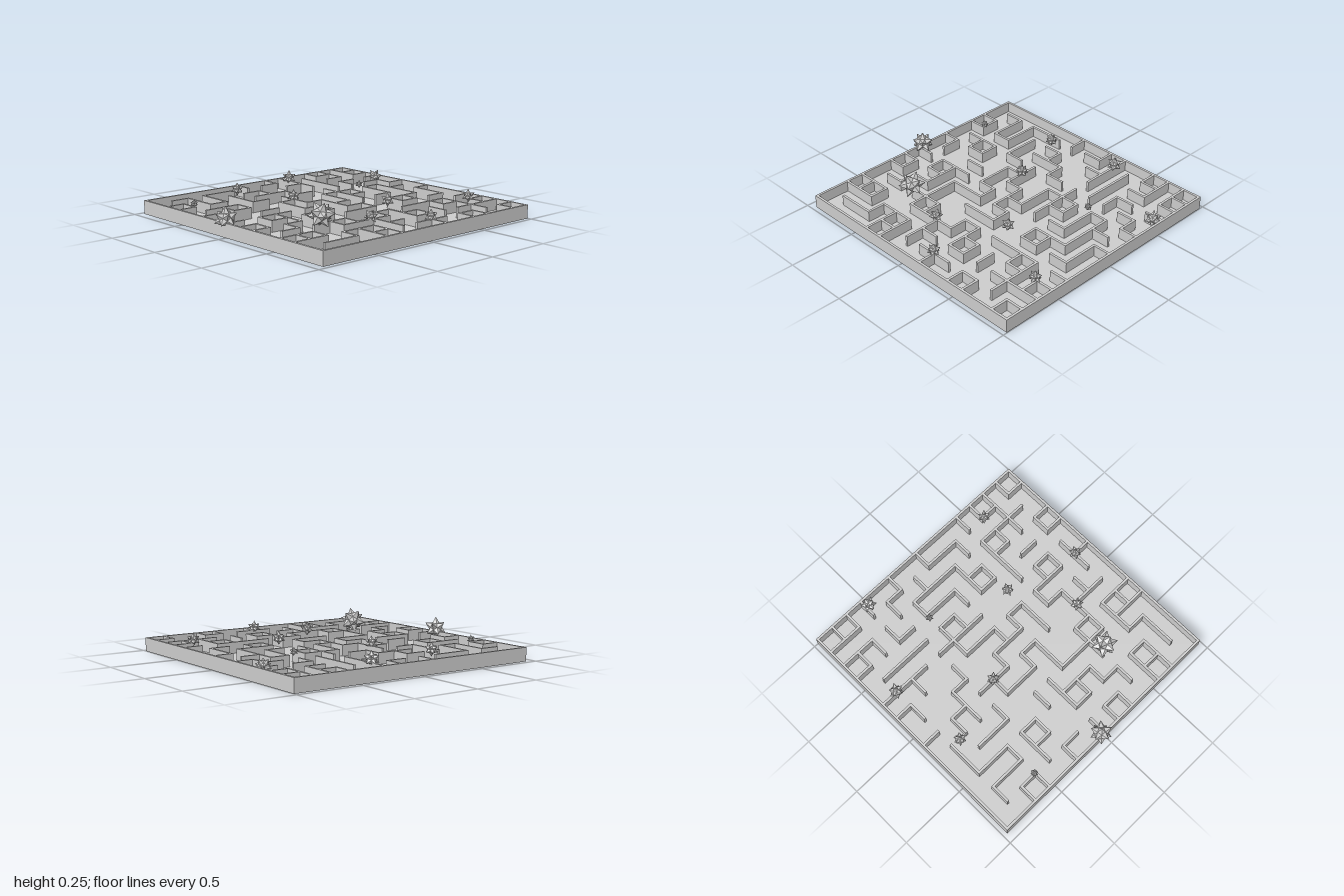
import * as THREE from 'three';
import { mergeGeometries } from 'three/addons/utils/BufferGeometryUtils.js';

const N = 14, CELL = 0.137, T = 0.018, TOP = 0.1, FLOOR = 0.02;
const CX = 0.03, SIZE = N * CELL + T;

// Inner walls running along x, one string per grid line from back to front
const ROWS = [
  '.#.##..#...#.#', '#....#..#..#.#', '#.#..##....#.#', '.##.#..#....#.',
  '#.#..#..##.#.#', '...#..#..#..#.', '#.##.#.#..#..#', '#.#.##.#..##..',
  '#.#...##..#.#.', '.#.##..#.###.#', '##..###.#..#.#', '##.##.#.#..###',
  '.##.#..##.#..#',
];
// Inner walls running along z, one string per grid line from left to right in plan
const COLS = [
  '..#..#..#..#..', '.##.#..#.#.#..', '.##.#..##...#.', '..##....###.##',
  '.....##...#.##', '#.#.##.#...##.', '...#..##..#...', '#....##.#.##.#',
  '###.###....#..', '.###.#..#..#.#', '#..#.##.#.#..#', '##...###..###.',
  '##..#..##..#.#',
];

// Five-sided spikes around a dodecahedral core, radius 1
function starGeometry() {
  const spikes = [];
  const spike = () => new THREE.ConeGeometry(0.3417, 0.5528, 5, 1, true)
    .translate(0, 0.4472 + 0.2764, 0);
  for (const flip of [0, Math.PI]) {
    spikes.push(spike().rotateX(flip));
    for (let k = 0; k < 5; k++) {
      spikes.push(spike().rotateX(Math.atan(2))
        .rotateY(Math.PI / 5 * (1 + 2 * k)).rotateX(flip));
    }
  }
  return mergeGeometries(spikes);
}

export function createModel() {
  const model = new THREE.Group();
  const mat = new THREE.MeshStandardMaterial({ color: 0xcccccc, flatShading: true });

  function box(name, w, h, d, x, y, z, parent) {
    const m = new THREE.Mesh(new THREE.BoxGeometry(w, h, d), mat);
    m.name = name;
    m.position.set(x, y, z);
    parent.add(m);
  }

  // Floor slab
  box('floor', SIZE, FLOOR, SIZE, CX, FLOOR / 2, 0, model);

  // Outer rim
  const rim = new THREE.Group();
  rim.name = 'outerWalls';
  const h = TOP - FLOOR, y = FLOOR + h / 2, edge = N * CELL / 2;
  for (const s of [-1, 1]) {
    box('sideWall', T, h, SIZE, CX + s * edge, y, 0, rim);
    box('endWall', SIZE - 2 * T, h, T, CX, y, s * edge, rim);
  }
  model.add(rim);

  // Maze walls: each unbroken run of cells becomes one box
  const maze = new THREE.Group();
  maze.name = 'mazeWalls';
  const runs = (lines, alongX) => lines.forEach((line, i) => {
    const across = (i + 1) * CELL - edge;
    for (const run of line.matchAll(/#+/g)) {
      const n = run[0].length, len = n * CELL + T;
      const mid = (run.index + n / 2) * CELL - edge;
      if (alongX) box('wall', len, h, T, CX + mid, y, across, maze);
      else box('wall', T, h, len, CX + across, y, mid, maze);
    }
  });
  runs(ROWS, true);
  runs(COLS, false);
  model.add(maze);

  // Stars: x, y, z, radius, tilt about x, turn about y, tilt about z
  const geo = starGeometry();
  const stars = [
    [-0.915, 0.125, -0.03, 0.085, 0, 0.2, 0],
    [-0.49, 0.165, 0.445, 0.098, 0.45, 0.1, 0.1],
    [-0.26, 0.122, -0.755, 0.05, 0, 0.3, 0],
    [-0.79, 0.121, -0.56, 0.03, 0, 0, 0],
    [0.305, 0.124, -0.83, 0.058, 0, 0.5, 0],
    [0.93, 0.098, -0.52, 0.06, 0.5, 0.2, 0.3],
    [-0.11, 0.122, -0.285, 0.05, 0, 0.1, 0],
    [0.54, 0.122, -0.285, 0.031, 0, 0.3, 0],
    [0.3, 0.122, 0.265, 0.05, 0, 0.6, 0],
    [-0.13, 0.118, 0.54, 0.05, 0.4, 0.2, 0.2],
    [0.16, 0.122, 0.82, 0.05, 0, 0.4, 0],
    [0.835, 0.122, 0.55, 0.05, 0, 0.2, 0],
  ];
  for (const [x, sy, z, r, rx, ry, rz] of stars) {
    const star = new THREE.Mesh(geo, mat);
    star.name = 'star';
    star.position.set(x, sy, z);
    star.rotation.set(rx, ry, rz);
    star.scale.setScalar(r);
    model.add(star);
  }
  return model;
}
